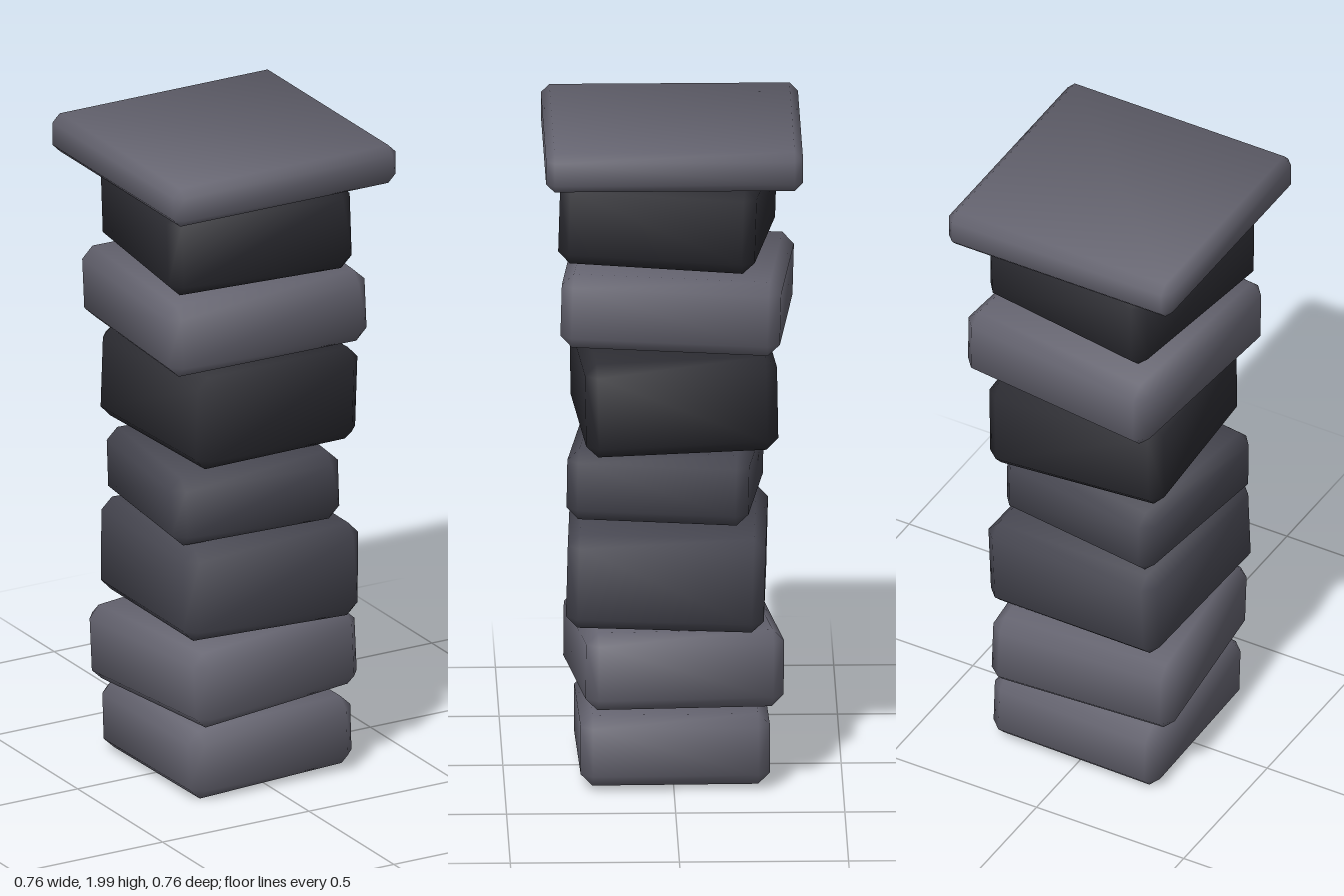
import * as THREE from 'three';
import { ConvexGeometry } from 'three/addons/geometries/ConvexGeometry.js';

// Box with a single-cut bevel on every edge and soft, rounded shading
function bevelledBox(w, h, d, bevel) {
  const half = [w / 2, h / 2, d / 2];
  const corners = [];
  const normals = [];
  for (let axis = 0; axis < 3; axis++) {
    for (let i = 0; i < 8; i++) {
      const sign = [i & 1 ? 1 : -1, i & 2 ? 1 : -1, i & 4 ? 1 : -1];
      corners.push(new THREE.Vector3(...sign.map((s, k) => s * (half[k] - (k === axis ? 0 : bevel)))));
      normals.push(new THREE.Vector3(...sign.map((s, k) => s * (k === axis ? 2.5 : 1))).normalize());
    }
  }
  const geometry = new ConvexGeometry(corners);
  const position = geometry.attributes.position;
  const p = new THREE.Vector3();
  for (let i = 0; i < position.count; i++) {
    p.fromBufferAttribute(position, i);
    const n = normals[corners.findIndex((c) => c.distanceToSquared(p) < 1e-8)];
    geometry.attributes.normal.setXYZ(i, n.x, n.y, n.z);
  }
  return geometry;
}

export function createModel() {
  const model = new THREE.Group();
  model.name = 'stackedStonePillar';

  const stone = (color) => new THREE.MeshStandardMaterial({ color });
  const light = stone(0x64636f);
  const medium = stone(0x474751);
  const dark = stone(0x2b2b31);

  // Stacked blocks, bottom to top: side, height, centre, yaw in degrees, tilt about x and z
  const blocks = [
    { side: 0.56, height: 0.215, at: [0.01, 0.12, 0.0], yaw: 1, tilt: [0, 0.03], material: light },
    { side: 0.59, height: 0.235, at: [0.0, 0.365, -0.005], yaw: 6, tilt: [-0.015, 0.04], material: light },
    { side: 0.585, height: 0.29, at: [0.01, 0.65, 0.015], yaw: -2, tilt: [-0.025, -0.025], material: medium },
    { side: 0.54, height: 0.215, at: [-0.015, 0.92, 0.02], yaw: -6.5, tilt: [-0.015, 0.025], material: medium },
    { side: 0.57, height: 0.29, at: [0.02, 1.195, -0.005], yaw: 4, tilt: [0.02, -0.025], material: dark },
    { side: 0.65, height: 0.225, at: [0.01, 1.473, -0.015], yaw: -5, tilt: [-0.025, 0.03], material: light },
    { side: 0.585, height: 0.265, at: [0.0, 1.74, 0.013], yaw: -8, tilt: [-0.028, 0.018], material: dark },
  ];
  blocks.forEach(({ side, height, at, yaw, tilt, material }, i) => {
    const block = new THREE.Mesh(bevelledBox(side, height, side, 0.035), material);
    block.name = `block${i + 1}`;
    block.position.set(...at);
    block.rotation.set(tilt[0], THREE.MathUtils.degToRad(yaw), tilt[1]);
    model.add(block);
  });

  // Level cap slab
  const cap = new THREE.Mesh(bevelledBox(0.76, 0.12, 0.76, 0.025), light);
  cap.name = 'capSlab';
  cap.position.y = 1.94;
  model.add(cap);

  return model;
}
